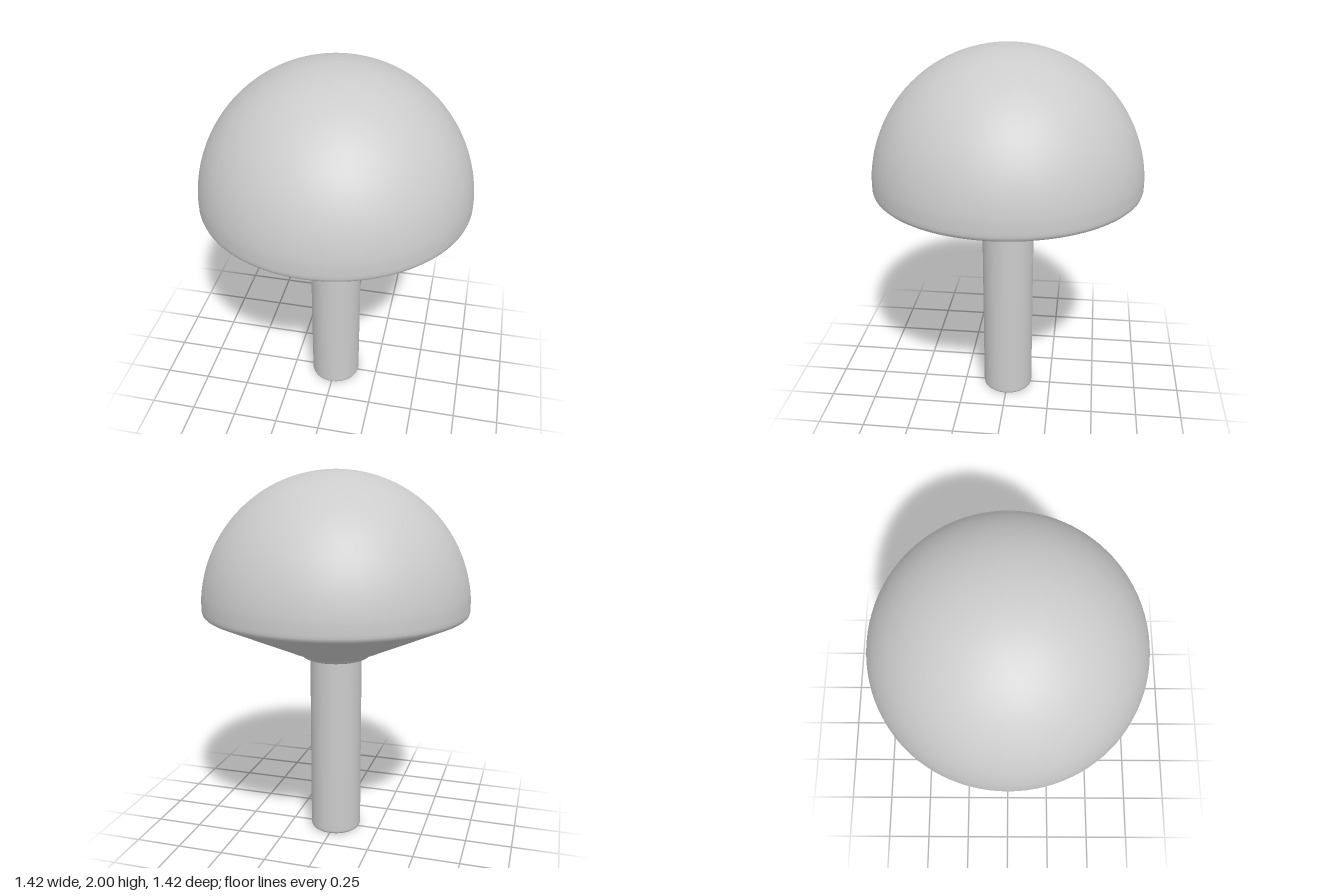
import * as THREE from 'three';

const material = new THREE.MeshStandardMaterial({ color: 0xcccccc });

// Revolve a bottom-to-top profile of [radius, height] pairs
function turned(name, profile) {
  const points = profile.map(([r, y]) => new THREE.Vector2(r, y));
  const mesh = new THREE.Mesh(new THREE.LatheGeometry(points, 96), material);
  mesh.name = name;
  return mesh;
}

export function createModel() {
  const group = new THREE.Group();
  group.name = 'mushroom';

  // Round stem with a slightly softened foot
  group.add(turned('stem', [
    [0, 0], [0.125, 0], [0.132, 0.002], [0.138, 0.008], [0.14, 0.016], [0.14, 0.03],
    [0.14, 0.99], [0.14, 1.03],
  ]));

  // Cap: small collar, conical underside, rounded rim, then the dome
  const cap = [
    [0.13, 1.01], [0.172, 1.01], [0.18, 1.014], [0.19, 1.028], [0.205, 1.036],
    [0.225, 1.043], [0.26, 1.058], [0.3, 1.077],
    [0.68, 1.252], [0.698, 1.261], [0.707, 1.27], [0.711, 1.283], [0.711, 1.3],
  ];
  const radius = 0.713, centreY = 1.287, steps = 40;
  for (let i = 2; i <= steps; i++) {
    const a = (i / steps) * Math.PI / 2;
    cap.push([i === steps ? 0 : radius * Math.cos(a), centreY + radius * Math.sin(a)]);
  }
  group.add(turned('cap', cap));

  return group;
}
